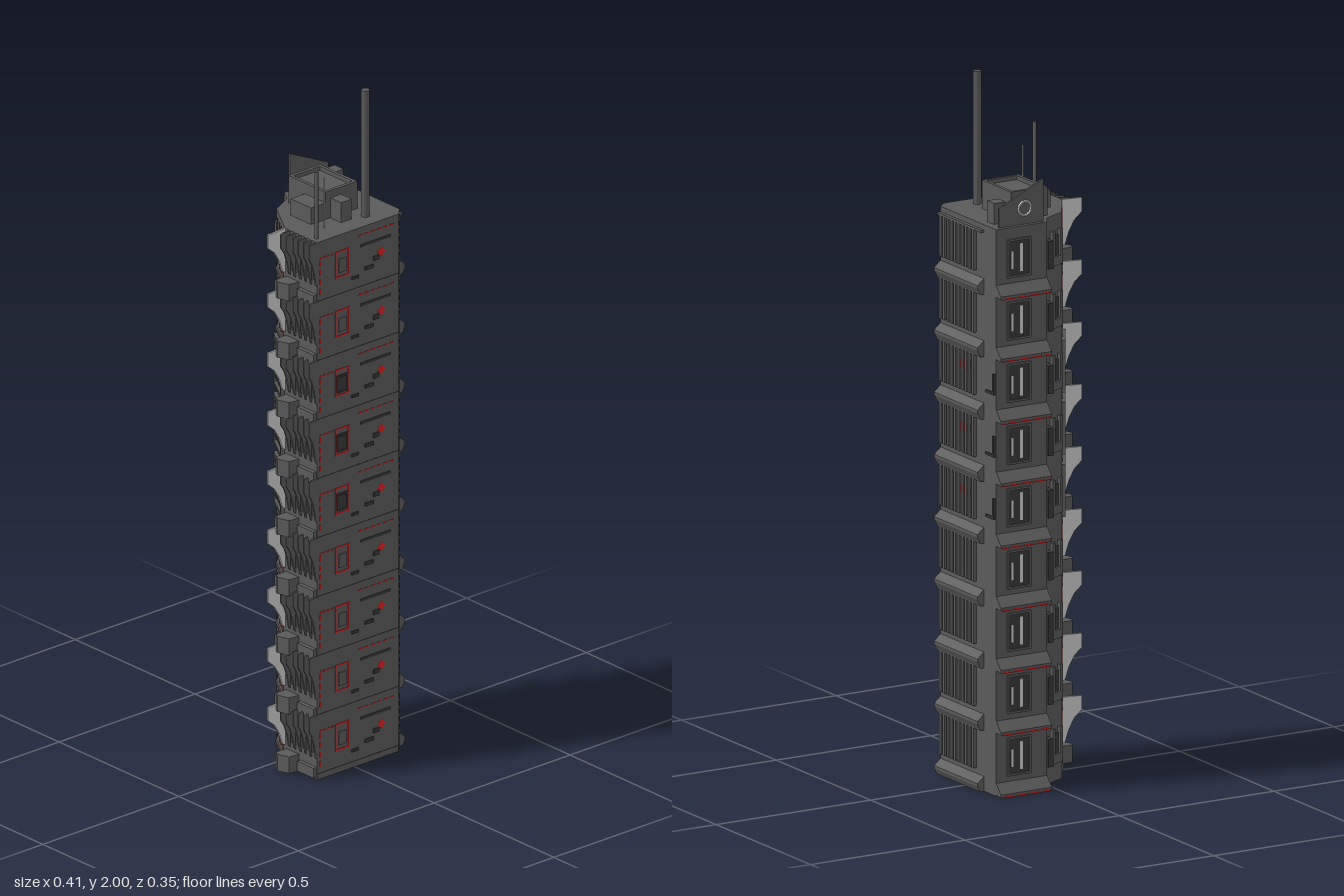
import * as THREE from 'three';

const FLOORS = 9, STEP = 0.178, ROOF = 1.62;
const mat = (color) => new THREE.MeshStandardMaterial({ color, flatShading: true });

export function createModel() {
  const dark = mat(0x5a5a5a), shade = mat(0x383838), light = mat(0xcccccc), red = mat(0xe02020);
  const model = new THREE.Group();
  model.name = 'tower';

  const add = (parent, name, geo, m = dark) => {
    const mesh = new THREE.Mesh(geo, m);
    mesh.name = name;
    parent.add(mesh);
    return mesh;
  };
  // box given by its extents on each axis
  const box = (parent, name, x0, x1, y0, y1, z0, z1, m = dark) => {
    const mesh = add(parent, name, new THREE.BoxGeometry(x1 - x0, y1 - y0, z1 - z0), m);
    mesh.position.set((x0 + x1) / 2, (y0 + y1) / 2, (z0 + z1) / 2);
    return mesh;
  };
  const shapeOf = (pts) => new THREE.Shape(pts.map(([a, b]) => new THREE.Vector2(a, b)));
  // floor plan (x, z) raised from y0 to y1
  const plan = (parent, name, pts, y0, y1, m = dark) => {
    const geo = new THREE.ExtrudeGeometry(shapeOf(pts.map(([x, z]) => [x, -z])), { depth: y1 - y0, bevelEnabled: false });
    geo.rotateX(-Math.PI / 2);
    geo.translate(0, y0, 0);
    return add(parent, name, geo, m);
  };
  // side profile (outward, y) swept along a wall from u0 to u1
  const sweep = (parent, name, pts, y, u0, u1, m = dark) => {
    const geo = new THREE.ExtrudeGeometry(shapeOf(pts), { depth: u1 - u0, bevelEnabled: false });
    geo.rotateY(-Math.PI / 2);
    geo.translate(u1, y, 0);
    return add(parent, name, geo, m);
  };
  // thin rectangular outline on a wall
  const frame = (parent, name, u0, u1, y0, y1, t, d, m = dark) => {
    box(parent, name, u0, u1, y0, y0 + t, 0, d, m);
    box(parent, name, u0, u1, y1 - t, y1, 0, d, m);
    box(parent, name, u0, u0 + t, y0 + t, y1 - t, 0, d, m);
    box(parent, name, u1 - t, u1, y0 + t, y1 - t, 0, d, m);
  };
  // wall group: local z points outward, local x runs along the wall
  const wall = (name, x, z, angle) => {
    const g = new THREE.Group();
    g.name = name;
    g.position.set(x, 0, z);
    g.rotation.y = angle;
    model.add(g);
    return g;
  };

  // main body
  plan(model, 'towerBody', [[-0.14, 0.17], [0.16, 0.17], [0.185, 0.145], [0.185, -0.15], [0.02, -0.15],
    [0, -0.115], [-0.07, -0.08], [-0.14, 0.035]], 0, ROOF);

  const front = wall('frontWall', 0, 0.17, 0);
  const corner = wall('cornerWall', 0.1725, 0.1575, Math.PI / 4);
  const left = wall('leftWall', 0.185, 0, Math.PI / 2);
  const back = wall('backWall', 0, -0.15, Math.PI);
  const right = wall('rightWall', -0.14, 0, -Math.PI / 2);
  const slant = wall('slantedWall', -0.105, -0.0225, Math.atan2(-0.115, -0.07));
  const slope = wall('rearSlantedWall', -0.035, -0.0975, Math.atan2(-0.035, -0.07));

  const sill = [[0, -0.025], [0.012, -0.025], [0.021, -0.008], [0.021, 0], [0, 0.018]];
  const backSill = [[0, -0.02], [0.025, -0.022], [0.025, -0.014], [0, 0.014]];
  const bracket = [[0, 0.045], [0.01, 0.05], [0.022, 0.085], [0.04, 0.115], [0.064, 0.135], [0.064, 0.175], [0, 0.178]];
  const bay = [[-0.14, 0.04], [-0.178, 0.04], [-0.185, 0.055], [-0.173, 0.09], [-0.14, 0.094]];

  for (let i = 0; i < FLOORS; i++) {
    const b = 0.018 + i * STEP;
    const serviceFloor = i >= 4 && i <= 6;

    // front: window, red trim, dashes and plates
    frame(front, 'windowTrim', -0.075, -0.022, b + 0.05, b + 0.13, 0.004, 0.002, red);
    box(front, 'frontWindow', -0.062, -0.034, b + 0.065, b + 0.105, 0, 0.003, serviceFloor ? shade : dark);
    if (serviceFloor) frame(front, 'windowFrame', -0.068, -0.028, b + 0.06, b + 0.112, 0.005, 0.004, shade);
    for (let k = 0; k < 6; k++) {
      box(front, 'redDash', 0.012 + k * 0.023, 0.026 + k * 0.023, b + 0.153, b + 0.156, 0, 0.002, red);
      if (k < 4) box(front, 'redDash', -0.13 + k * 0.014, -0.122 + k * 0.014, b + 0.125, b + 0.129, 0, 0.002, red);
    }
    for (let k = 0; k < 4; k++)
      box(front, 'redMark', -0.131, -0.128, b + 0.02 + k * 0.028, b + 0.036 + k * 0.028, 0, 0.002, red);
    box(front, 'frontPlate', 0.035, 0.065, b + 0.045, b + 0.055, 0, 0.004, shade);
    box(front, 'frontPlate', 0.065, 0.085, b + 0.065, b + 0.078, 0, 0.004, shade);
    box(front, 'frontPlate', -0.015, 0.01, b + 0.03, b + 0.038, 0, 0.004, shade);
    box(front, 'frontVent', 0.02, 0.13, b + 0.118, b + 0.126, 0, 0.002, shade);
    const lamp = box(front, 'frontLamp', 0.085, 0.105, b + 0.075, b + 0.095, 0, 0.002, red);
    lamp.rotation.z = Math.PI / 4;
    box(front, 'floorLine', -0.14, 0.16, b - 0.001, b + 0.001, 0, 0.001, shade);

    // chamfered corner with red slots
    for (let k = 0; k < 6; k++)
      box(corner, 'cornerSlot', -0.011, 0.011, b + 0.025 + k * 0.023, b + 0.038 + k * 0.023, 0, 0.002, red);

    // left side: louvred opening over a deep sill
    sweep(left, 'sideSill', sill, b + 0.006, -0.145, 0.085);
    box(left, 'louvreBacking', -0.132, 0.045, b + 0.045, b + 0.155, 0, 0.002, light);
    for (let k = 0; k < 10; k++)
      box(left, 'louvre', -0.136 + k * 0.0192, -0.126 + k * 0.0192, b + 0.04, b + 0.16, 0, 0.01);
    box(left, 'louvreHead', -0.145, 0.085, b + 0.156, b + 0.163, 0, 0.011);
    if (serviceFloor) {
      box(left, 'redSidePanel', -0.04, 0.03, b + 0.1, b + 0.125, 0.002, 0.006, red);
      box(left, 'sidePipe', 0.1, 0.145, b + 0.06, b + 0.067, 0, 0.006, shade);
      box(left, 'sidePipe', 0.138, 0.145, b + 0.067, b + 0.12, 0, 0.006, shade);
    }

    // back: sloping sill, framed tall window and side slot
    sweep(back, 'backSill', backSill, b + 0.005, -0.185, -0.02);
    box(back, 'sillLight', -0.18, -0.025, b - 0.019, b - 0.015, 0.024, 0.026, red);
    frame(back, 'backWindowFrame', -0.15, -0.075, b + 0.035, b + 0.145, 0.006, 0.006);
    box(back, 'backWindow', -0.144, -0.081, b + 0.041, b + 0.139, 0, 0.002, shade);
    box(back, 'windowStrip', -0.11, -0.1, b + 0.05, b + 0.13, 0, 0.004, light);
    box(back, 'windowStrip', -0.138, -0.132, b + 0.06, b + 0.11, 0, 0.004, light);

    // right side: curved brackets, fins and a low bay
    sweep(right, 'curvedBracket', bracket, b, 0.032, 0.038, light);
    for (let k = 0; k < 6; k++) {
      const u = 0.054 + k * 0.0222, s = k < 2 ? 0.55 : 0.45;
      sweep(right, 'bracketFin', bracket.map(([o, y]) => [o * s, y]), b, u, u + 0.005);
    }
    box(right, 'bracketRail', 0.038, 0.17, b + 0.16, b + 0.168, 0, 0.012);
    box(right, 'rightWindow', 0.06, 0.16, b + 0.06, b + 0.15, 0, 0.002, shade);
    plan(model, 'lowBay', bay, Math.max(0, b - 0.015), b + 0.035);
    box(right, 'lowRail', 0.1, 0.168, Math.max(0, b - 0.01), b + 0.02, 0, 0.012);

    // slanted wall: red striped panel, with grilles on the service floors
    box(slant, 'floorBand', -0.066, 0.066, b - 0.002, b + 0.004, 0, 0.004);
    for (const u of [-0.045, -0.015, 0.015, 0.045])
      box(slant, 'redStripe', u - 0.002, u + 0.002, b + 0.02, b + 0.16, 0, 0.002, red);
    if (serviceFloor) {
      frame(slant, 'grilleFrame', -0.058, 0.058, b + 0.015, b + 0.165, 0.008, 0.01);
      for (let k = 0; k < 6; k++)
        box(slant, 'grilleBar', -0.05, 0.05, b + 0.035 + k * 0.02, b + 0.044 + k * 0.02, 0, 0.007, shade);
    }

    // rear slanted wall: raised U-shaped housing and duct
    box(slope, 'housing', -0.022, 0.032, b + 0.035, b + 0.06, 0, 0.009);
    box(slope, 'housing', -0.022, -0.008, b + 0.06, b + 0.135, 0, 0.009);
    box(slope, 'housing', 0.018, 0.032, b + 0.06, b + 0.135, 0, 0.009);
    box(slope, 'housingWindow', -0.008, 0.018, b + 0.06, b + 0.12, 0, 0.002, shade);
    box(model, 'cornerDuct', -0.003, 0.014, b + 0.04, b + 0.12, -0.147, -0.11, shade);
  }

  // roof plant
  box(model, 'roofHouse', -0.017, 0.1, ROOF, 1.69, -0.09, 0.065);
  const rim = new THREE.Group();
  rim.name = 'roofHouseRim';
  rim.position.set(0.0415, 1.69, -0.0125);
  rim.rotation.x = -Math.PI / 2;
  model.add(rim);
  frame(rim, 'rimEdge', -0.0585, 0.0585, -0.0775, 0.0775, 0.01, 0.012);
  box(model, 'roofAnnex', -0.07, -0.017, ROOF, 1.67, -0.02, 0.065);
  box(model, 'roofStep', 0.001, 0.04, ROOF, 1.68, 0.065, 0.11);
  box(model, 'roofVent', 0.123, 0.16, ROOF, 1.68, -0.098, -0.06);

  // sloping rear sign board with a ring
  const board = new THREE.ExtrudeGeometry(
    shapeOf([[0.025, ROOF], [0.168, ROOF], [0.168, 1.675], [0.025, 1.742]]), { depth: 0.006, bevelEnabled: false });
  add(model, 'rearBoard', board).position.z = -0.138;
  const ring = add(model, 'boardRing', new THREE.TorusGeometry(0.02, 0.004, 6, 16), light);
  ring.position.set(0.085, 1.665, -0.138);

  // masts
  for (const [name, x, z, r, top, m] of [['mainMast', 0.083, 0.118, 0.012, 2, dark],
    ['sideMast', -0.12, 0.145, 0.0055, 1.82, dark], ['thinMast', -0.057, 0.105, 0.002, 1.77, light]]) {
    const h = top - ROOF;
    add(model, name, new THREE.CylinderGeometry(r, r, h, 12), m).position.set(x, ROOF + h / 2, z);
  }
  return model;
}
